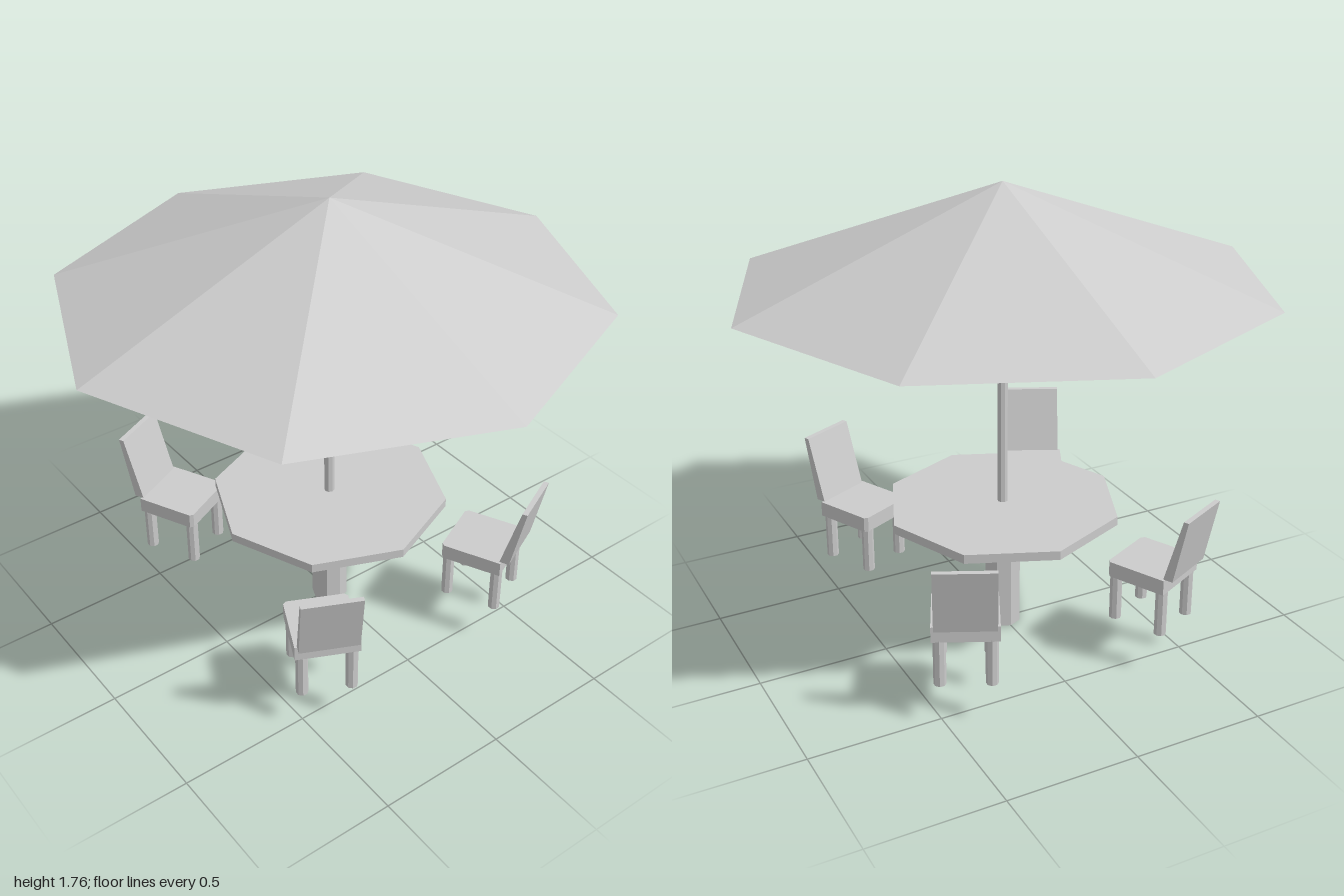
import * as THREE from 'three';

const grey = new THREE.MeshStandardMaterial({ color: 0xcccccc, flatShading: true });
const greyThin = new THREE.MeshStandardMaterial({ color: 0xcccccc, flatShading: true, side: THREE.DoubleSide });

function add(parent, name, geometry, material = grey) {
  const mesh = new THREE.Mesh(geometry, material);
  mesh.name = name;
  parent.add(mesh);
  return mesh;
}

// Upright eight-sided prism between two heights
function prism(parent, name, radius, y0, y1) {
  const mesh = add(parent, name, new THREE.CylinderGeometry(radius, radius, y1 - y0, 8));
  mesh.position.y = (y0 + y1) / 2;
  return mesh;
}

function polygon(points) {
  return new THREE.Shape(points.map(([x, y]) => new THREE.Vector2(x, y)));
}

// Chair whose back is towards its local +z
function createChair(name) {
  const chair = new THREE.Group();
  chair.name = name;

  // Seat with slightly clipped front corners
  const h = 0.12, c = 0.012;
  const outline = polygon([[-h, -h], [h, -h], [h, h - c], [h - c, h], [c - h, h], [-h, h - c]]);
  const seat = new THREE.ExtrudeGeometry(outline, { depth: 0.06, bevelEnabled: false });
  seat.rotateX(-Math.PI / 2);
  add(chair, 'seat', seat).position.y = 0.34;

  // Leaning backrest, thinner at the top
  const profile = polygon([[0.112, 0.4], [0.15, 0.4], [0.203, 0.655], [0.183, 0.655]]);
  const back = new THREE.ExtrudeGeometry(profile, { depth: 0.22, bevelEnabled: false });
  back.translate(0, 0, -0.11);
  back.rotateY(-Math.PI / 2);
  add(chair, 'backrest', back);

  // Legs
  for (const x of [-0.091, 0.091]) {
    for (const z of [-0.098, 0.098]) {
      const leg = prism(chair, 'chairLeg', 0.023, 0.16, 0.345);
      leg.position.x = x;
      leg.position.z = z;
    }
  }
  return chair;
}

export function createModel() {
  const model = new THREE.Group();
  model.name = 'patioTableSet';

  // Table and umbrella
  prism(model, 'tableBase', 0.07, 0, 0.49);
  prism(model, 'tableTop', 0.45, 0.485, 0.52);
  prism(model, 'umbrellaPole', 0.02, 0.5, 1.74);
  const canopy = add(model, 'umbrellaCanopy', new THREE.ConeGeometry(1, 0.375, 8, 1, true), greyThin);
  canopy.position.y = 1.385 + 0.375 / 2;

  // Four chairs, mirrored across both axes
  const turn = THREE.MathUtils.degToRad(25.5);
  for (const sx of [1, -1]) {
    for (const sz of [1, -1]) {
      const chair = createChair((sz > 0 ? 'front' : 'back') + (sx > 0 ? 'Left' : 'Right') + 'Chair');
      chair.position.set(sx * 0.385, 0, sz * 0.465);
      chair.rotation.y = Math.atan2(sx * Math.sin(turn), sz * Math.cos(turn));
      model.add(chair);
    }
  }
  return model;
}
